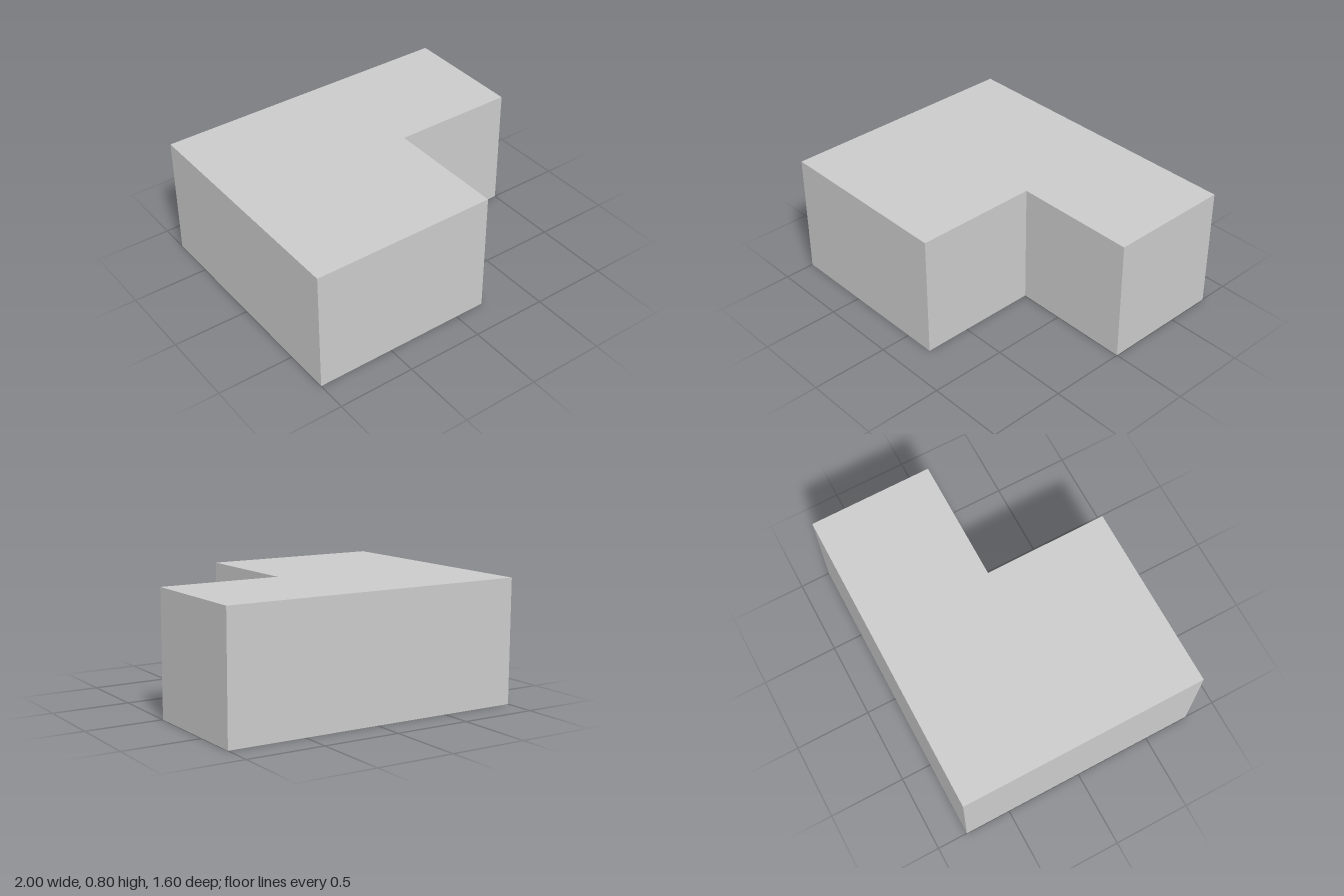
import * as THREE from 'three';

export function createModel() {
  const group = new THREE.Group();
  group.name = 'lShapedBlock';

  // L-shaped footprint, drawn as (x, -z), counter-clockwise
  const footprint = new THREE.Shape(
    [[-1, -0.8], [0.2, -0.8], [0.2, 0], [1, 0], [1, 0.8], [-1, 0.8]]
      .map(([x, y]) => new THREE.Vector2(x, y))
  );

  // Extruded upwards from the ground
  const geometry = new THREE.ExtrudeGeometry(footprint, { depth: 0.8, bevelEnabled: false });
  geometry.rotateX(-Math.PI / 2);

  const block = new THREE.Mesh(
    geometry,
    new THREE.MeshStandardMaterial({ color: 0xcccccc, flatShading: true })
  );
  block.name = 'block';
  group.add(block);
  return group;
}
